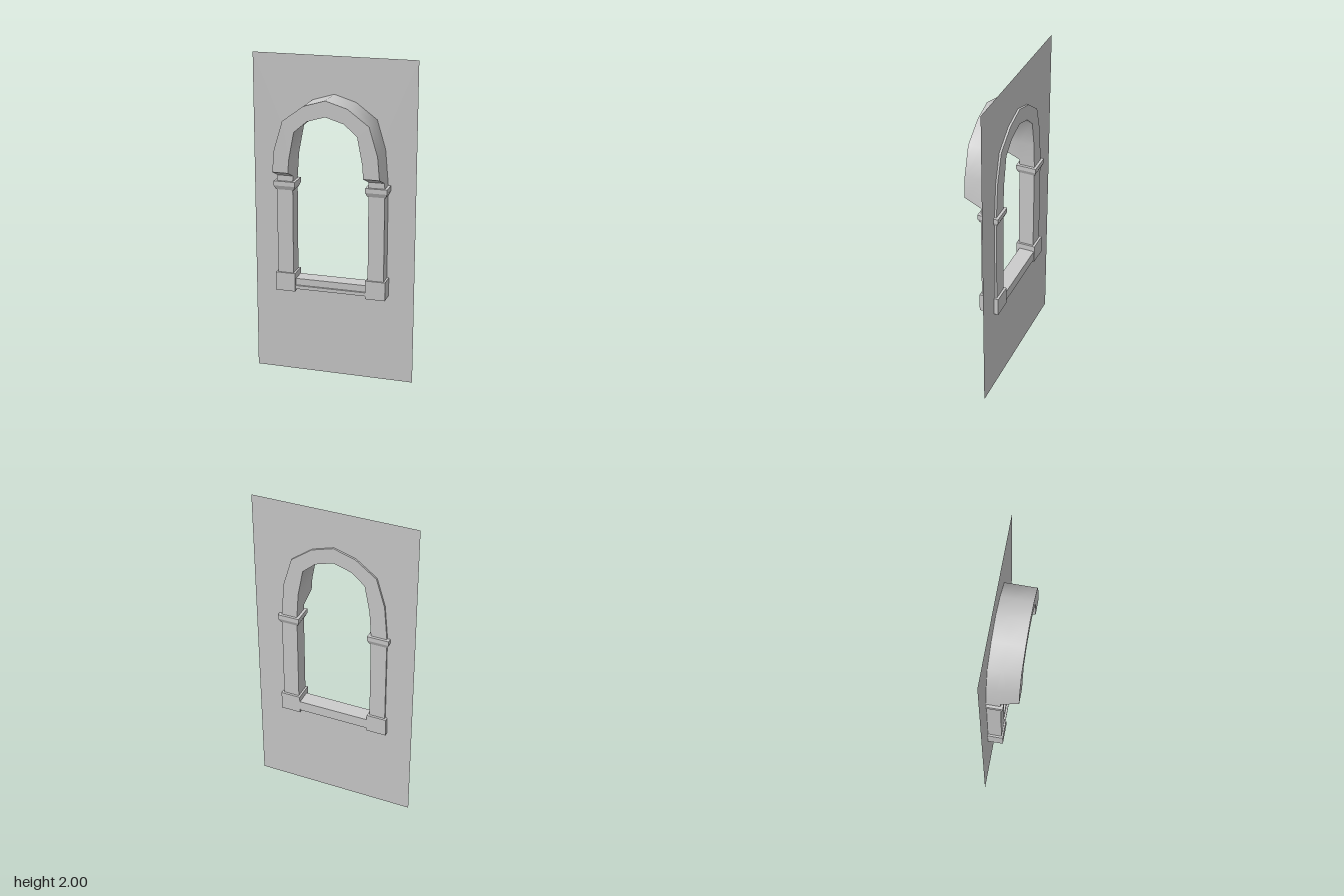
import * as THREE from 'three';
import { mergeGeometries, toCreasedNormals } from 'three/addons/utils/BufferGeometryUtils.js';

const grey = new THREE.MeshStandardMaterial({ color: 0xcccccc });
const thin = new THREE.MeshStandardMaterial({ color: 0xcccccc, side: THREE.DoubleSide });

// Right half of the arch edges, from spring line to crown
const SPRING = 1.25;
const outer = [[0.331, SPRING], [0.312, 1.466], [0.26, 1.64], [0.132, 1.735], [0, 1.775]];
const inner = [[0.233, SPRING], [0.222, 1.41], [0.19, 1.577], [0.111, 1.646], [0, 1.68]];

// Full outline of an edge, left to right over the crown, its feet trimmed at height y
const footX = ([a, b], y) => a[0] + (b[0] - a[0]) * (y - a[1]) / (b[1] - a[1]);
function span(edge, y) {
  const half = [[footX(edge, y), y], ...edge.slice(1)];
  const points = [...half.slice(0, -1).map(([x, h]) => [-x, h]), ...half.slice().reverse()];
  return points.map(([x, h]) => new THREE.Vector2(x, h));
}

// One slab of the arch between z0 and z1, whose feet rise from y0 to y1
function archSlab(z0, z1, y0, y1) {
  const shape = new THREE.Shape([...span(outer, y0), ...span(inner, y0).reverse()]);
  const geo = new THREE.ExtrudeGeometry(shape, { depth: z1 - z0, bevelEnabled: false });
  geo.translate(0, 0, z0);
  const p = geo.attributes.position;
  for (let i = 0; i < p.count; i++) {
    if (p.getY(i) > y0 + 0.001 || p.getZ(i) < z1 - 0.001) continue;
    const edge = Math.abs(p.getX(i)) > 0.28 ? outer : inner;
    p.setXY(i, Math.sign(p.getX(i)) * footX(edge, y1), y1);
  }
  return geo;
}

// Box given by its limits; the bottom can be drawn in by an inset
function block(name, [x0, x1], [y0, y1], [z0, z1], inset = 0) {
  const geo = new THREE.BoxGeometry(x1 - x0, y1 - y0, z1 - z0);
  const p = geo.attributes.position;
  for (let i = 0; i < p.count; i++) {
    if (p.getY(i) > 0) continue;
    p.setX(i, p.getX(i) - Math.sign(p.getX(i)) * inset);
    p.setZ(i, p.getZ(i) - Math.sign(p.getZ(i)) * inset);
  }
  geo.computeVertexNormals();
  const mesh = new THREE.Mesh(geo, grey);
  mesh.name = name;
  mesh.position.set((x0 + x1) / 2, (y0 + y1) / 2, (z0 + z1) / 2);
  return mesh;
}

export function createModel() {
  const model = new THREE.Group();
  model.name = 'archedWindow';

  // Thin wall panel; the opening's edge lies inside the frame
  const wallShape = new THREE.Shape([[-0.5, 0], [0.5, 0], [0.5, 2], [-0.5, 2]].map(c => new THREE.Vector2(...c)));
  const middle = outer.map(([x, y], i) => [(x + inner[i][0]) / 2, (y + inner[i][1]) / 2]);
  wallShape.holes.push(new THREE.Path([
    ...span(middle, SPRING), new THREE.Vector2(0.282, 0.6), new THREE.Vector2(-0.282, 0.6),
  ]));
  const wall = new THREE.Mesh(new THREE.ShapeGeometry(wallShape), thin);
  wall.name = 'wall';
  wall.position.z = -0.08;
  model.add(wall);

  // Arch: the rear rests on the columns, the front overhangs with sloped feet
  const archGeo = mergeGeometries([
    archSlab(-0.092, 0.003, SPRING, SPRING),
    archSlab(0.003, 0.108, 1.285, 1.33),
  ]);
  const arch = new THREE.Mesh(toCreasedNormals(archGeo, 0.8), grey);
  arch.name = 'arch';
  model.add(arch);

  // Columns with base and capital
  for (const side of [1, -1]) {
    const column = new THREE.Group();
    column.name = side > 0 ? 'leftColumn' : 'rightColumn';
    column.add(
      block('base', [-0.061, 0.061], [0.556, 0.672], [-0.106, 0.014]),
      block('shaft', [-0.049, 0.049], [0.66, 1.21], [-0.092, 0.004]),
      block('capitalTaper', [-0.066, 0.066], [1.197, 1.222], [-0.108, 0.018], 0.011),
      block('capitalSlab', [-0.066, 0.066], [1.222, 1.25], [-0.108, 0.018]),
    );
    column.position.x = side * 0.282;
    model.add(column);
  }

  // Sill with a small ledge along its front
  const sill = new THREE.Group();
  sill.name = 'sill';
  sill.add(
    block('sillSlab', [-0.23, 0.23], [0.571, 0.635], [-0.102, -0.006]),
    block('sillLedge', [-0.23, 0.23], [0.571, 0.593], [-0.02, 0.006]),
  );
  model.add(sill);
  return model;
}
